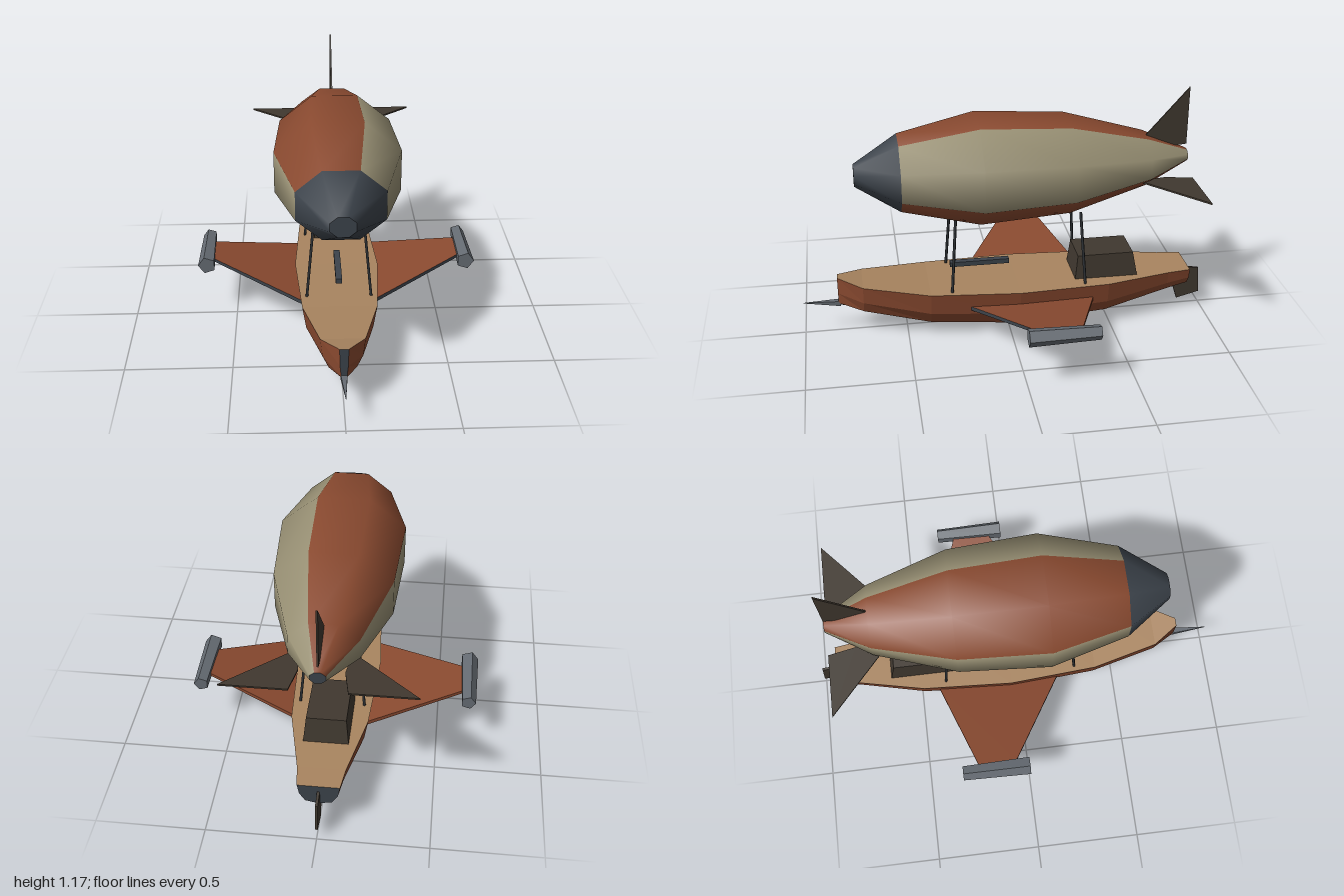
import * as THREE from 'three';

const paint = (name, color) => {
  const m = new THREE.MeshStandardMaterial({ color });
  m.name = name;
  return m;
};

export function createModel() {
  const model = new THREE.Group();
  model.name = 'airship';

  const rust = paint('rust', 0x8a4a30);
  const beige = paint('beige canvas', 0x989074);
  const tan = paint('deck tan', 0xa98560);
  const slate = paint('slate', 0x3c434b);
  const brown = paint('dark brown', 0x40382f);
  const grey = paint('metal grey', 0x666c73);
  const dark = paint('strut dark', 0x2c3034);
  const keelMat = paint('keel dark', 0x31363b);

  const add = (name, geo, mat) => {
    const mesh = new THREE.Mesh(geo, mat);
    mesh.name = name;
    model.add(mesh);
    return mesh;
  };

  // Skin rings (front to back, counter-clockwise from the front) and cap both ends.
  // pick(strip, segment) gives the material index; caps use capMat.
  function loft(rings, pick, capMat, flat) {
    const n = rings[0].length, last = rings.length - 1;
    const pos = rings.flat(2);
    const lists = [];
    const push = (m, ...ids) => (lists[m] ??= []).push(...ids);
    for (let i = 0; i < last; i++) {
      for (let j = 0; j < n; j++) {
        const a = i * n + j, b = i * n + (j + 1) % n;
        push(pick(j, i), a, a + n, b, b, a + n, b + n);
      }
    }
    for (const end of [0, last]) {
      const start = pos.length / 3;
      pos.push(...rings[end].flat());
      for (let j = 1; j < n - 1; j++) {
        if (end) push(capMat, start, start + j + 1, start + j);
        else push(capMat, start, start + j, start + j + 1);
      }
    }
    let geo = new THREE.BufferGeometry();
    geo.setAttribute('position', new THREE.Float32BufferAttribute(pos, 3));
    const index = [];
    lists.forEach((list, m) => {
      geo.addGroup(index.length, list.length, m);
      index.push(...list);
    });
    geo.setIndex(index);
    if (flat) geo = geo.toNonIndexed();
    geo.computeVertexNormals();
    return geo;
  }

  // Unit box whose corners are moved by a rule taking (-1 or 1) signs
  function shapedBox(rule) {
    const geo = new THREE.BoxGeometry(2, 2, 2);
    const p = geo.attributes.position;
    for (let i = 0; i < p.count; i++) p.setXYZ(i, ...rule(p.getX(i), p.getY(i), p.getZ(i)));
    geo.computeVertexNormals();
    return geo;
  }

  // Thin plate from an outline of [z, y] points, standing on the centre plane
  function plate(points, thick) {
    const shape = new THREE.Shape(points.map(([z, y]) => new THREE.Vector2(-z, y)));
    const geo = new THREE.ExtrudeGeometry(shape, { depth: thick, bevelEnabled: false });
    return geo.translate(0, 0, -thick / 2).rotateY(Math.PI / 2);
  }

  // Balloon: stretched octagons with a slate nose and alternating panel pairs
  const balloonRings = [
    // z, half width, half height, centre y
    [0.72, 0.057, 0.047, 0.825], [0.51, 0.2, 0.165, 0.825], [0.14, 0.295, 0.24, 0.825],
    [-0.29, 0.27, 0.215, 0.825], [-0.67, 0.155, 0.117, 0.826], [-0.88, 0.034, 0.028, 0.829],
  ].map(([z, w, h, y]) => Array.from({ length: 8 }, (_, k) => {
    const a = (k - 0.5) * Math.PI / 4, r = 1 / Math.cos(Math.PI / 8);
    return [w * r * Math.cos(a), y + h * r * Math.sin(a), z];
  }));
  add('balloon', loft(balloonRings, (j, i) => (i === 0 ? 2 : [1, 1, 0, 0][j % 4]), 2, false),
    [rust, beige, slate]);

  // Hull: deck, two rust strakes a side and a dark bottom
  const hullRings = [
    // z, half width, deck y, middle y, chine y, keel y
    [0.83, 0.02, 0.3, 0.215, 0.158, 0.145], [0.71, 0.1, 0.277, 0.19, 0.13, 0.108],
    [0.39, 0.175, 0.25, 0.14, 0.068, 0.038], [-0.04, 0.205, 0.243, 0.12, 0.035, 0],
    [-0.48, 0.18, 0.241, 0.135, 0.062, 0.03], [-0.8, 0.11, 0.24, 0.175, 0.127, 0.108],
    [-0.915, 0.095, 0.24, 0.19, 0.15, 0.137],
  ].map(([z, w, d, m, c, k]) => [
    [w, d, z], [-w, d, z], [-0.9 * w, m, z], [-0.63 * w, c, z],
    [0, k, z], [0.63 * w, c, z], [0.9 * w, m, z],
  ]);
  add('hull', loft(hullRings, (j) => [0, 1, 1, 2, 2, 1, 1][j], 3, true), [tan, rust, keelMat, slate]);

  // Bow spike
  add('bowSpike', shapedBox((x, y, z) => (z > 0
    ? [x * 0.001, 0.165 + y * 0.001, 1]
    : [x * 0.015, 0.154 + y * 0.013, 0.82])), grey);

  // Cabin with sloping walls
  add('cabin', shapedBox((x, y, z) => (y > 0
    ? [x * 0.092, 0.362, -0.478 + z * 0.138]
    : [x * 0.105, 0.235, -0.483 + z * 0.157])), brown);

  // Deck gun
  add('deckGun', new THREE.BoxGeometry(0.03, 0.024, 0.29).translate(0, 0.323, 0.135), slate);

  // Rudder and upright tail fin
  add('rudder', plate([[-0.855, 0.125], [-0.885, 0.03], [-1, 0.06], [-0.99, 0.195], [-0.9, 0.212]], 0.012), brown);
  add('tailFin', plate([[-0.62, 0.88], [-0.78, 0.875], [-0.877, 0.885], [-0.877, 1.172]], 0.008), brown);

  // Side fins, wings, engine pods and struts, mirrored
  for (const s of [1, -1]) {
    const side = s > 0 ? 'left' : 'right';

    const finShape = new THREE.Shape([[0.12, 0.615], [0.42, 0.88], [0.125, 0.88], [0.1, 0.75]]
      .map(([x, y]) => new THREE.Vector2(s * x, y)));
    const fin = new THREE.ExtrudeGeometry(finShape, { depth: 0.008, bevelEnabled: false });
    add(side + 'TailPlane', fin.rotateX(-Math.PI / 2).translate(0, 0.751, 0), brown);

    const wing = shapedBox((x, y, z) => (x * s > 0
      ? [s * 0.61, 0.263 + y * 0.008, z > 0 ? -0.065 : -0.25]
      : [s * 0.16, 0.16 + y * 0.01, z > 0 ? 0.207 : -0.408]));
    add(side + 'Wing', wing, [rust, rust, rust, rust, slate, rust]);

    const pod = new THREE.CylinderGeometry(0.044, 0.036, 0.33, 5).toNonIndexed();
    pod.computeVertexNormals();
    pod.rotateX(Math.PI / 2).rotateZ(s * Math.PI / 2).translate(s * 0.64, 0.267, -0.165);
    add(side + 'EnginePod', pod, grey);

    for (const [name, zTop, zFoot] of [['Front', 0.26, 0.287], ['Rear', -0.34, -0.367]]) {
      const path = new THREE.LineCurve3(
        new THREE.Vector3(s * 0.117, 0.615, zTop), new THREE.Vector3(s * 0.153, 0.235, zFoot));
      add(side + name + 'Strut', new THREE.TubeGeometry(path, 1, 0.007, 6), dark);
    }
  }

  return model;
}
